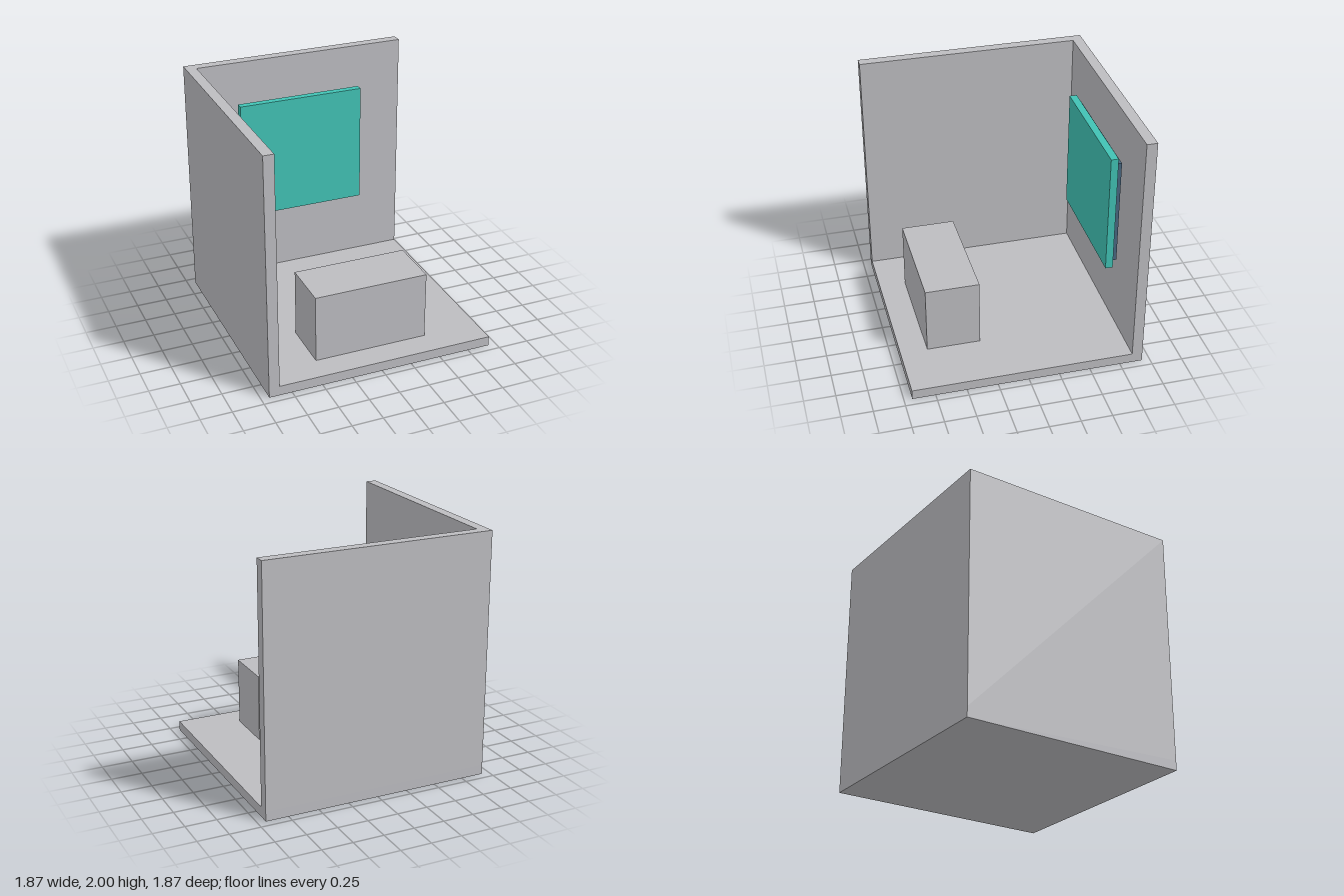
import * as THREE from 'three';

function material(name, color) {
  const m = new THREE.MeshStandardMaterial({ color });
  m.name = name;
  return m;
}

export function createModel() {
  const group = new THREE.Group();
  group.name = 'roomCorner';

  const grey = material('plaster grey', 0xbcbcc0);
  const teal = material('screen teal', 0x41c2b4);
  const slate = material('slate blue', 0x48667f);

  // Box given by its extents along each axis
  function addBox(name, mat, [x0, x1], [y0, y1], [z0, z1]) {
    const mesh = new THREE.Mesh(new THREE.BoxGeometry(x1 - x0, y1 - y0, z1 - z0), mat);
    mesh.position.set((x0 + x1) / 2, (y0 + y1) / 2, (z0 + z1) / 2);
    mesh.name = name;
    group.add(mesh);
  }

  const R = 0.935; // half width of the room
  const inner = -0.85; // inner faces of the walls
  const floorTop = 0.08;

  // Room shell: floor with two walls standing on it
  addBox('floor', grey, [-R, R], [0, floorTop], [-R, R]);
  addBox('sideWall', grey, [-R, inner], [floorTop, 2], [-R, R]);
  addBox('backWall', grey, [inner, R], [floorTop, 2], [-R, inner]);

  // Block standing on the floor
  addBox('desk', grey, [-0.468, 0.468], [floorTop, 0.64], [0.282, 0.717]);

  // Panel in front of the back wall, with its backing plate
  addBox('screen', teal, [-0.533, 0.533], [0.66, 1.66], [-0.793, -0.733]);
  addBox('screenBacking', slate, [-0.513, 0.513], [0.715, 1.605], [-0.828, -0.793]);

  return group;
}
